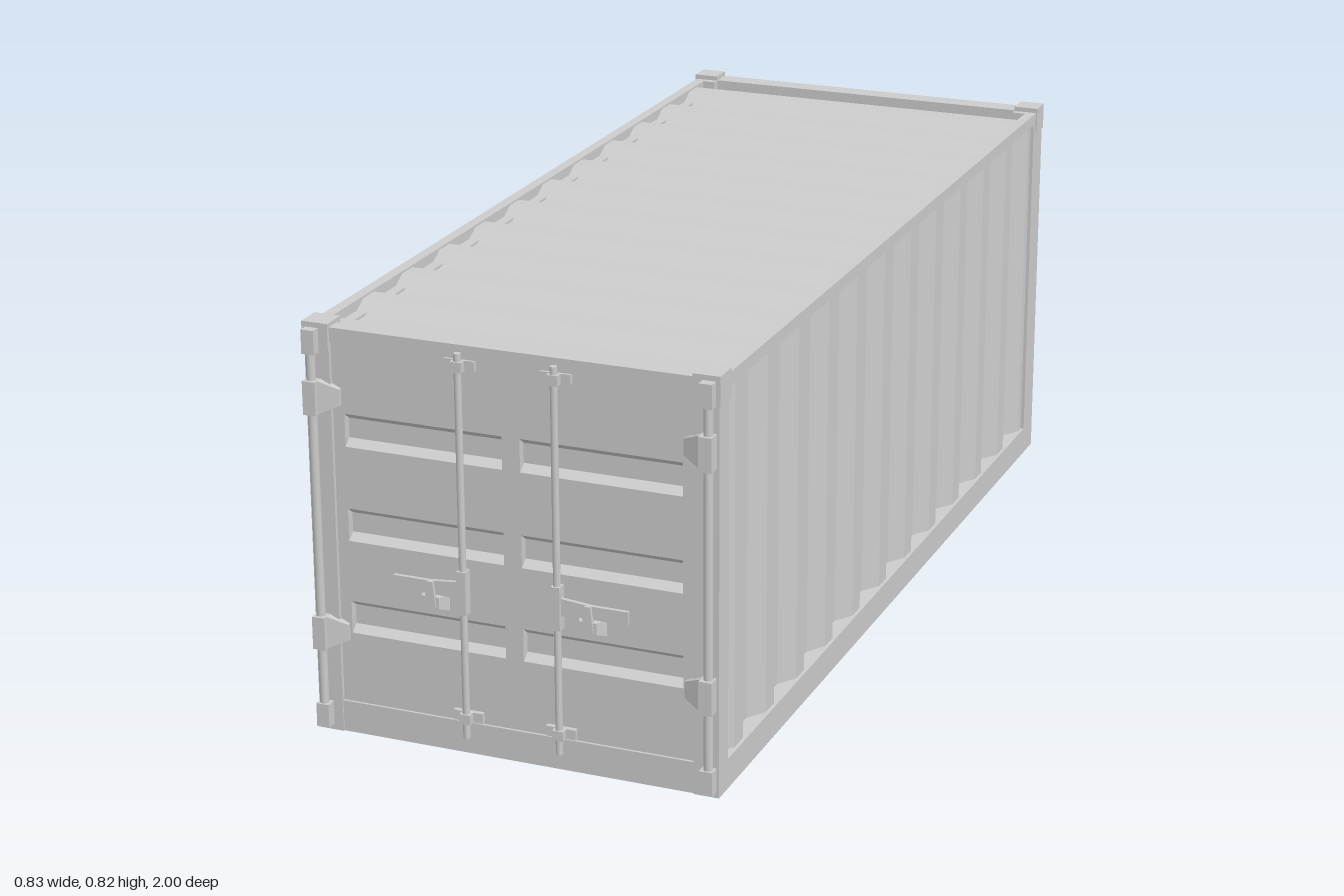
import * as THREE from 'three';

const mat = new THREE.MeshStandardMaterial({ color: 0xcccccc });

export function createModel() {
  const model = new THREE.Group();
  model.name = 'shippingContainer';

  const add = (name, geo, parent = model) => {
    const m = new THREE.Mesh(geo, mat);
    m.name = name;
    parent.add(m);
    return m;
  };
  // box given by its limits on each axis
  const box = (name, x0, x1, y0, y1, z0, z1, parent) => {
    const lo = Math.min(x0, x1), hi = Math.max(x0, x1);
    const m = add(name, new THREE.BoxGeometry(hi - lo, y1 - y0, z1 - z0), parent);
    m.position.set((lo + hi) / 2, (y0 + y1) / 2, (z0 + z1) / 2);
    return m;
  };
  const rod = (name, x, y0, y1, z, r, parent) => {
    const m = add(name, new THREE.CylinderGeometry(r, r, y1 - y0, 12), parent);
    m.position.set(x, (y0 + y1) / 2, z);
    return m;
  };
  const prism = (points, depth) => new THREE.ExtrudeGeometry(
    new THREE.Shape(points.map(p => new THREE.Vector2(...p))), { depth, bevelEnabled: false });

  // trapezoid-wave sheet: u runs along the wave, d points outward, v along the ribs
  const sheet = (name, { u0, u1, first, low, high, width, u, d, centre }) => {
    const pitch = 0.163;
    const pts = [[u0, low - 0.012], [u0, low]];
    for (let s = first; s < u1; s += pitch) {
      for (const [o, h] of [[0, low], [0.037, high], [0.08, high], [0.117, low]]) {
        if (s + o < u1) pts.push([s + o, h]);
      }
    }
    pts.push([u1, pts[pts.length - 1][1]], [u1, low - 0.012]);
    const geo = prism(pts, width).translate(0, 0, -width / 2);
    const U = new THREE.Vector3(...u), D = new THREE.Vector3(...d);
    geo.applyMatrix4(new THREE.Matrix4().makeBasis(U, D, U.clone().cross(D)));
    add(name, geo).position.set(...centre);
  };

  // frame
  for (const s of [1, -1]) {
    box('frontPost', s * 0.36, s * 0.41, 0, 0.81, 0.93, 0.975);
    box('rearPost', s * 0.36, s * 0.41, 0, 0.81, -1, -0.935);
    box('bottomSideRail', s * 0.36, s * 0.41, 0, 0.06, -0.935, 0.93);
    box('topSideRail', s * 0.388, s * 0.41, 0.785, 0.81, -0.955, 0.94);
    box('frontCornerCasting', s * 0.36, s * 0.413, 0.765, 0.82, 0.925, 0.978);
    box('rearCornerCasting', s * 0.36, s * 0.413, 0.765, 0.82, -1, -0.95);
  }
  box('bottomFrontRail', -0.36, 0.36, 0, 0.063, 0.93, 0.972);
  box('bottomRearRail', -0.36, 0.36, 0, 0.06, -1, -0.95);
  box('topFrontRail', -0.36, 0.36, 0.785, 0.812, 0.94, 0.972);
  box('topRearRail', -0.36, 0.36, 0.785, 0.81, -1, -0.955);
  box('floor', -0.365, 0.365, 0.008, 0.05, -0.955, 0.935);

  // corrugated sheets
  sheet('roof', { u0: -0.96, u1: 0.945, first: -0.93, low: 0.785, high: 0.806,
    width: 0.78, u: [0, 0, 1], d: [0, 1, 0], centre: [0, 0, 0] });
  for (const s of [1, -1]) {
    sheet('sidePanel', { u0: -0.935, u1: 0.94, first: -0.917, low: 0.378, high: 0.403,
      width: 0.74, u: [0, 0, -1], d: [s, 0, 0], centre: [0, 0.42, 0] });
  }
  sheet('rearPanel', { u0: -0.365, u1: 0.365, first: -0.35, low: 0.967, high: 0.992,
    width: 0.74, u: [1, 0, 0], d: [0, 0, -1], centre: [0, 0.42, 0] });

  // door leaf with recessed, slope-edged grooves
  const doorFront = 0.967, doorBack = 0.95, slope = 0.013;
  const grooves = [[0.205, 0.27], [0.392, 0.457], [0.58, 0.645]];
  const door = new THREE.Shape();
  door.moveTo(-0.362, 0.06).lineTo(0.362, 0.06).lineTo(0.362, 0.79).lineTo(-0.362, 0.79).closePath();
  for (const s of [1, -1]) {
    for (const [y0, y1] of grooves) {
      const hole = new THREE.Path();
      hole.moveTo(s * 0.018, y0).lineTo(s * 0.018, y1).lineTo(s * 0.337, y1).lineTo(s * 0.337, y0).closePath();
      door.holes.push(hole);
      for (const [a, b] of [[y0, y0 + slope], [y1, y1 - slope]]) {
        // section in (z, y), swept along x
        const geo = prism([[doorBack, a], [doorFront, a], [doorBack, b]], 0.319)
          .translate(0, 0, -0.1595).rotateY(-Math.PI / 2);
        geo.scale(1, 1, 1);
        const m = add('grooveSlope', geo);
        m.position.x = s * 0.1775;
      }
    }
  }
  add('doors', new THREE.ExtrudeGeometry(door, { depth: doorFront - doorBack, bevelEnabled: false }))
    .position.z = doorBack;
  box('doorBacking', -0.362, 0.362, 0.06, 0.79, 0.935, doorBack);

  // door hardware, same on both leaves
  for (const s of [1, -1]) {
    const hw = new THREE.Group();
    hw.name = s > 0 ? 'leftDoorHardware' : 'rightDoorHardware';
    model.add(hw);

    // hinge post
    rod('hingeRod', s * 0.393, 0.012, 0.81, 0.985, 0.009, hw);
    for (const [y0, y1] of [[0.012, 0.06], [0.763, 0.81]]) {
      box('hingeSleeve', s * 0.379, s * 0.405, y0, y1, 0.97, 0.997, hw);
    }
    for (const y of [0.207, 0.678]) {
      box('hingeKnuckle', s * 0.379, s * 0.405, y - 0.033, y + 0.033, 0.965, 1, hw);
      const pts = [[0.38, -0.033], [0.38, 0.033], [0.342, 0.016], [0.342, -0.016]];
      const leaf = add('hingeLeaf', prism(pts.map(([x, v]) => [s * x, v]), 0.03), hw);
      leaf.position.set(0, y, 0.96);
      // leaf thins toward the middle of the door
      const p = leaf.geometry.attributes.position;
      for (let i = 0; i < p.count; i++) {
        if (Math.abs(p.getX(i)) < 0.36 && p.getZ(i) > 0.01) p.setZ(i, 0.015);
      }
      leaf.geometry.computeVertexNormals();
    }

    // locking rod with guides
    rod('lockRod', s * 0.095, 0.037, 0.8, 0.983, 0.007, hw);
    for (const y of [0.077, 0.775]) {
      box('rodGuidePlate', s * 0.065, s * 0.125, y - 0.01, y + 0.01, 0.965, 0.977, hw);
      box('rodGuide', s * 0.084, s * 0.106, y - 0.01, y + 0.01, 0.965, 0.992, hw);
    }
    box('handleHub', s * 0.086, s * 0.104, 0.29, 0.376, 0.972, 0.993, hw);

    // handle
    const grip = prism([[0.1, 0.318], [0.145, 0.321], [0.237, 0.321], [0.237, 0.347],
      [0.165, 0.347], [0.1, 0.353]].map(([x, y]) => [s * x, y]), 0.008);
    add('handle', grip, hw).position.z = 0.979;

    // handle catch: tapered foot and upright tab
    const foot = new THREE.BoxGeometry(0.057, 0.033, 0.025);
    const f = foot.attributes.position;
    for (let i = 0; i < f.count; i++) {
      if (f.getZ(i) > 0) {
        f.setX(i, f.getX(i) * 0.6);
        if (f.getY(i) < 0) f.setY(i, -0.006);
      }
    }
    foot.computeVertexNormals();
    add('catchFoot', foot, hw).position.set(s * 0.159, 0.3, 0.9785);
    const tab = prism([[-0.012, 0.296], [0.012, 0.296], [0.006, 0.348], [-0.006, 0.348]], 0.01);
    add('catchTab', tab, hw).position.set(s * 0.159, 0, 0.984);
  }
  return model;
}
